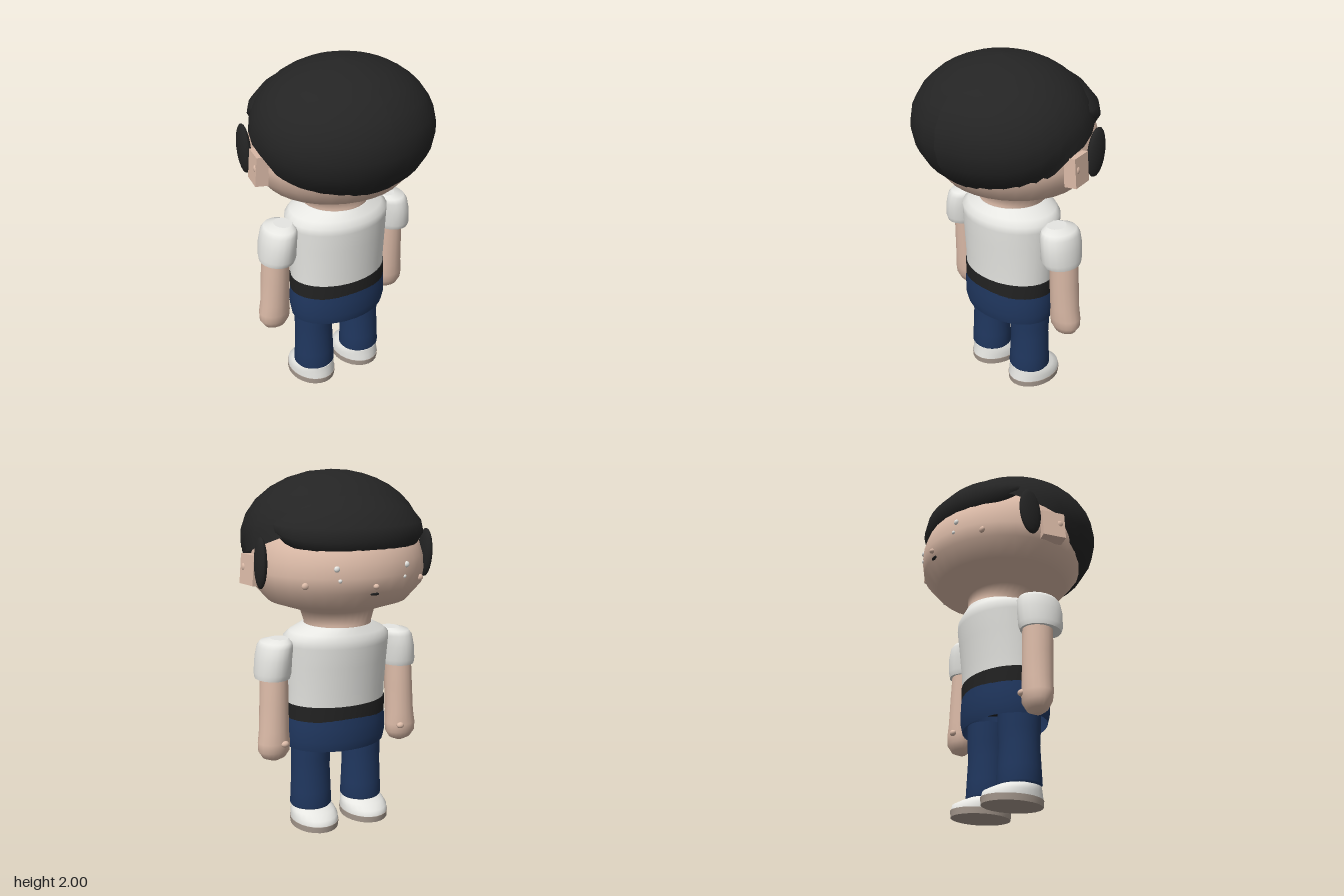
import * as THREE from 'three';

const mat = (name, color, side = THREE.FrontSide) => {
  const m = new THREE.MeshStandardMaterial({ color, side });
  m.name = name;
  return m;
};

// Stacked elliptical rings [y, rx, rz, cx, cz], bottom to top, with flat caps
function loft(rings, seg = 24, capBottom = true, capTop = true) {
  const pos = [], idx = [];
  const ring = ([y, rx, rz, cx = 0, cz = 0]) => {
    for (let j = 0; j < seg; j++) {
      const a = (j / seg) * Math.PI * 2;
      pos.push(cx + rx * Math.sin(a), y, cz + rz * Math.cos(a));
    }
  };
  rings.forEach(ring);
  for (let i = 0; i < rings.length - 1; i++)
    for (let j = 0; j < seg; j++) {
      const k = (j + 1) % seg, a = i * seg, b = a + seg;
      idx.push(a + j, a + k, b + k, a + j, b + k, b + j);
    }
  const cap = (r, up) => {
    const s = pos.length / 3;
    ring(r);
    pos.push(r[3] || 0, r[0], r[4] || 0);
    for (let j = 0; j < seg; j++) {
      const k = (j + 1) % seg;
      idx.push(s + seg, s + (up ? j : k), s + (up ? k : j));
    }
  };
  if (capBottom) cap(rings[0], false);
  if (capTop) cap(rings[rings.length - 1], true);
  return build(pos, idx);
}

function build(pos, idx) {
  const g = new THREE.BufferGeometry();
  g.setAttribute('position', new THREE.Float32BufferAttribute(pos, 3));
  g.setIndex(idx);
  g.computeVertexNormals();
  return g;
}

// Open grid of points from f(i, j); rows go up, columns turn from +z to +x
function grid(rows, cols, f) {
  const pos = [], idx = [];
  for (let i = 0; i <= rows; i++) for (let j = 0; j <= cols; j++) pos.push(...f(i / rows, j / cols));
  for (let i = 0; i < rows; i++)
    for (let j = 0; j < cols; j++) {
      const a = i * (cols + 1) + j, b = a + cols + 1;
      idx.push(a, a + 1, b + 1, a, b + 1, b);
    }
  return build(pos, idx);
}

// Hairline height by how far back (1) or forward (-1) the point lies
const hairline = [[-1, 1.68], [-0.5, 1.67], [-0.26, 1.6], [-0.09, 1.6], [0.13, 1.54], [0.22, 1.47], [0.45, 1.4], [0.65, 1.365], [1.01, 1.35]];
function hairlineAt(c) {
  const i = Math.max(1, hairline.findIndex(p => p[0] >= c));
  const [c0, y0] = hairline[i - 1], [c1, y1] = hairline[i];
  return y0 + (y1 - y0) * (c - c0) / (c1 - c0);
}

export function createModel() {
  const model = new THREE.Group();
  const skin = mat('skin', 0xdcbba8);
  const hair = mat('black hair', 0x242424, THREE.DoubleSide);
  const black = mat('belt black', 0x222222);
  const white = mat('white cloth', 0xe6e6e2);
  const navy = mat('navy trousers', 0x20375f, THREE.DoubleSide);
  const soleMat = mat('sole taupe', 0xa89b90);

  const add = (name, geo, material, parent = model) => {
    const m = new THREE.Mesh(geo, material);
    m.name = name;
    parent.add(m);
    return m;
  };
  const ball = (name, material, p, s) => {
    const m = add(name, new THREE.SphereGeometry(1, 14, 10), material);
    m.position.set(...p);
    m.scale.set(...s);
    return m;
  };

  // Head and neck
  const hz = -0.045;
  add('head', loft([
    [1.14, 0.19, 0.19], [1.18, 0.188, 0.19], [1.25, 0.215, 0.185], [1.31, 0.39, 0.365], [1.4, 0.47, 0.443],
    [1.48, 0.48, 0.455], [1.55, 0.475, 0.45], [1.62, 0.455, 0.425], [1.68, 0.42, 0.38], [1.8, 0.3, 0.28],
  ].map(r => [...r, 0, hz]), 32), skin);

  // Hair cap
  add('hair', grid(9, 32, (v, u) => {
    const a = u * Math.PI * 2;
    const phi = Math.acos((hairlineAt(Math.cos(a)) - 1.63) / 0.37) * (1 - v);
    const s = Math.sin(phi);
    return [0.505 * s * Math.sin(a), 1.63 + 0.37 * Math.cos(phi), 0.035 + 0.48 * s * Math.cos(a)];
  }), hair);

  // Fringe, tapering to a point at both ends
  const lock = [[0.42, 1.64], [0.49, 1.6], [0.525, 1.66], [0.51, 1.73], [0.435, 1.82], [0.34, 1.885]];
  add('fringe', grid(5, 20, (v, u) => {
    const w = u * 2 - 1, t = Math.pow(Math.abs(w), 5);
    const a = Math.PI + w * 1.2;
    const [r0, y0] = lock[Math.round(v * 5)];
    const r = r0 + (0.46 - r0) * t, y = y0 + (1.74 - y0) * t;
    return [r * Math.sin(a), y, 0.03 + r * Math.cos(a)];
  }), hair);

  // Facial features on the curve of the face
  const faceZ = x => hz - 0.45 * Math.sqrt(1 - (x / 0.478) ** 2);
  ball('nose', skin, [0, 1.435, -0.497], [0.016, 0.014, 0.016]);
  ball('mouth', black, [0, 1.395, -0.482], [0.026, 0.009, 0.009]);

  for (const s of [1, -1]) {
    ball('eye', white, [s * 0.2, 1.53, faceZ(0.2)], [0.016, 0.016, 0.012]);
    ball('lowerEyeSpot', white, [s * 0.185, 1.47, faceZ(0.185)], [0.011, 0.011, 0.01]);
    ball('cheek', skin, [s * 0.335, 1.44, faceZ(0.335)], [0.02, 0.018, 0.014]);
    ball('sideburn', hair, [s * 0.493, 1.54, -0.157], [0.028, 0.137, 0.066]).rotation.x = -0.08;

    // Ear
    const ear = add('ear', new THREE.BoxGeometry(0.07, 0.16, 0.13), skin);
    ear.position.set(s * 0.485, 1.487, -0.013);
    ear.rotation.set(0, s * 0.2, s * 0.09);
    ball('innerEar', skin, [s * 0.52, 1.5, 0.02], [0.012, 0.022, 0.018]);

    // Arm, hand and thumb
    add('arm', loft([
      [0.42, 0.02, 0.02, s * 0.4, -0.065], [0.44, 0.065, 0.05, s * 0.402, -0.068], [0.48, 0.09, 0.073, s * 0.402, -0.07],
      [0.53, 0.092, 0.08, s * 0.401, -0.068], [0.6, 0.084, 0.08, s * 0.398, -0.064], [0.75, 0.081, 0.083, s * 0.393, -0.058],
      [0.95, 0.077, 0.084, s * 0.388, -0.05],
    ], 18), skin);
    ball('thumb', skin, [s * 0.365, 0.53, -0.142], [0.023, 0.018, 0.018]);

    // Puffed sleeve
    add('sleeve', loft([
      [0.89, 0.095, 0.115, s * 0.392, -0.035], [0.92, 0.101, 0.126, s * 0.389, -0.033], [1.0, 0.099, 0.131, s * 0.383, -0.033],
      [1.065, 0.096, 0.125, s * 0.372, -0.033], [1.09, 0.085, 0.108, s * 0.365, -0.033], [1.105, 0.05, 0.06, s * 0.345, -0.033],
    ], 20), white);

    // Trouser leg
    add('trouserLeg', loft([
      [0.1, 0.11, 0.108], [0.115, 0.121, 0.118], [0.2, 0.117, 0.114], [0.33, 0.112, 0.108], [0.4, 0.112, 0.114], [0.52, 0.112, 0.117],
    ].map(r => [...r, s * 0.162, -0.028])), navy);

    // Shoe
    add('shoeSole', loft([
      [0, 0.132, 0.168], [0.035, 0.134, 0.172],
    ].map(r => [...r, s * 0.16, -0.07])), soleMat);
    add('shoeUpper', loft([
      [0.035, 0.131, 0.169, s * 0.16, -0.07], [0.065, 0.13, 0.162, s * 0.16, -0.068],
      [0.088, 0.123, 0.138, s * 0.16, -0.048], [0.105, 0.112, 0.118, s * 0.16, -0.03],
    ]), white);
  }

  // Shirt
  add('shirt', loft([
    [0.71, 0.29, 0.213, 0, -0.02], [0.8, 0.292, 0.218, 0, -0.022], [0.95, 0.3, 0.232, 0, -0.026],
    [1.06, 0.306, 0.243, 0, -0.03], [1.1, 0.308, 0.242, 0, -0.03], [1.13, 0.275, 0.222, 0, -0.036], [1.17, 0.192, 0.195, 0, -0.045],
  ], 32), white);

  // Belt and trouser hips, open underneath
  add('belt', loft([[0.64, 0.296, 0.217, 0, -0.02], [0.725, 0.296, 0.217, 0, -0.02]], 32), black);
  add('trouserHips', loft([
    [0.465, 0.29, 0.206, 0, -0.02], [0.52, 0.3, 0.22, 0, -0.02], [0.6, 0.298, 0.219, 0, -0.02], [0.652, 0.294, 0.217, 0, -0.02],
  ], 32, false, false), navy);

  return model;
}
